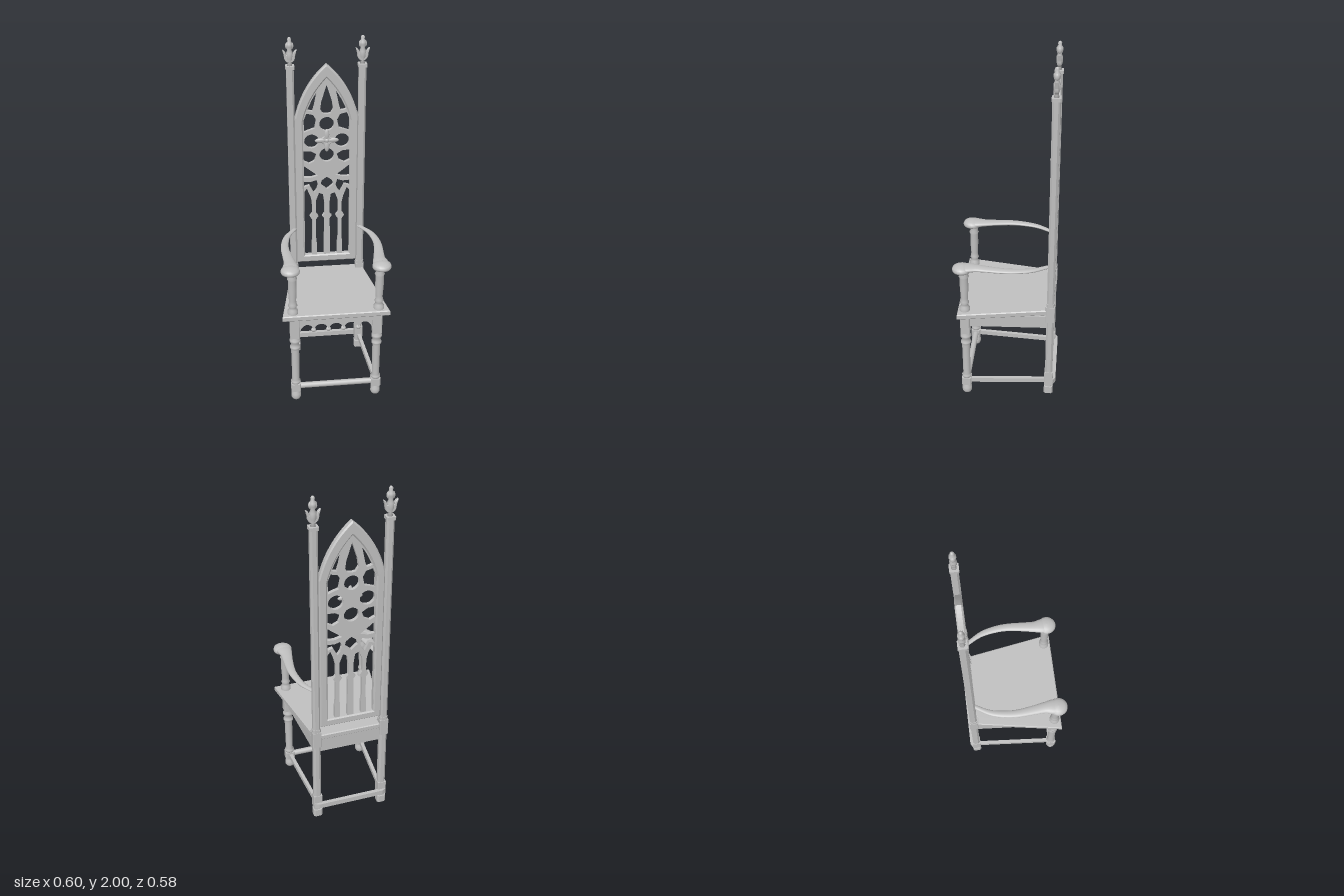
import * as THREE from 'three';

const wood = new THREE.MeshStandardMaterial({ color: 0xbfbfbf });
wood.name = 'greyWood';
const V = (x, y, z) => new THREE.Vector3(x, y, z);
const P = (pts) => pts.map(([x, y]) => new THREE.Vector2(x, y));

export function createModel() {
  const root = new THREE.Group();
  const add = (name, geo, x = 0, y = 0, z = 0) => {
    const m = new THREE.Mesh(geo, wood);
    m.name = name;
    m.position.set(x, y, z);
    root.add(m);
    return m;
  };
  const box = (name, w, h, d, x, y, z) => add(name, new THREE.BoxGeometry(w, h, d), x, y, z);
  const beam = (name, a, b, w, h) => {
    const m = add(name, new THREE.BoxGeometry(w, h, a.distanceTo(b)));
    m.position.copy(a).add(b).multiplyScalar(0.5);
    m.lookAt(b);
    return m;
  };
  const turned = (name, pts, x, y, z) => add(name, new THREE.LatheGeometry(P(pts), 20), x, y, z);
  // upright bar with chamfered corners
  const post = (name, w, c, y0, y1, x, z) => {
    const a = w / 2, b = a - c;
    const s = new THREE.Shape(P([[a, -b], [a, b], [b, a], [-b, a], [-a, b], [-a, -b], [-b, -a], [b, -a]]));
    const g = new THREE.ExtrudeGeometry(s, { depth: y1 - y0, bevelEnabled: false });
    return add(name, g.rotateX(-Math.PI / 2), x, y0, z);
  };
  const extrude = (s, depth, bevel, curveSegments = 12) => new THREE.ExtrudeGeometry(s, {
    depth, curveSegments, bevelEnabled: bevel > 0, bevelThickness: bevel, bevelSize: bevel, bevelOffset: -bevel, bevelSegments: 1,
  });

  // seat: tapers to the back, with a tongue between the rear posts
  const seat = new THREE.Shape(P([[-0.3, -0.265], [0.3, -0.265], [0.217, 0.225], [0.174, 0.225],
    [0.174, 0.268], [-0.174, 0.268], [-0.174, 0.225], [-0.217, 0.225]]));
  add('seat', extrude(seat, 0.022, 0.005).rotateX(-Math.PI / 2), 0, 0.56, 0);

  // scalloped front apron with pendants
  const apron = new THREE.Shape();
  apron.moveTo(-0.21, 0.555);
  apron.lineTo(-0.21, 0.455);
  const cusps = [-0.205, -0.126, -0.042, 0.042, 0.126, 0.205];
  cusps.forEach((x, i) => {
    const y = i === 0 || i === 5 ? 0.455 : 0.472;
    apron.lineTo(x, y);
    if (i < 5) {
      const n = cusps[i + 1];
      apron.bezierCurveTo(x + 0.012, 0.523, n - 0.012, 0.523, n, i === 4 ? 0.455 : 0.472);
    }
  });
  apron.lineTo(0.21, 0.455);
  apron.lineTo(0.21, 0.555);
  add('frontApron', extrude(apron, 0.022, 0), 0, 0, 0.215);
  box('frontApronMoulding', 0.5, 0.032, 0.03, 0, 0.536, 0.23);
  cusps.slice(1, 5).forEach((x) => {
    add('apronPendant', new THREE.SphereGeometry(0.014, 12, 8), x, 0.468, 0.226);
  });
  box('backApron', 0.36, 0.085, 0.02, 0, 0.513, -0.25);

  // tracery openings, given for the +x half
  const sideHoles = [
    [[0.052, 1.70], [0.08, 1.655], [0.108, 1.595], [0.098, 1.59], [0.078, 1.587], [0.068, 1.62]],
    [[0.128, 1.535], [0.112, 1.575], [0.075, 1.566], [0.058, 1.535], [0.068, 1.485], [0.1, 1.475], [0.125, 1.465]],
    [[0.13, 1.352], [0.13, 1.29], [0.1, 1.275], [0.07, 1.29], [0.056, 1.33], [0.09, 1.35]],
    [[0.13, 1.262], [0.13, 1.19], [0.09, 1.188], [0.05, 1.2], [0.09, 1.23]],
    [[0.05, 1.14], [0.06, 1.172], [0.09, 1.162], [0.13, 1.165], [0.13, 1.13], [0.1, 1.14], [0.075, 1.09], [0.06, 1.11]],
    [[0.018, 0.68], [0.06, 0.68], [0.06, 0.76], [0.064, 0.8], [0.064, 0.92], [0.05, 0.94], [0.064, 0.96],
      [0.064, 1.04], [0.045, 1.09], [0.022, 1.08], [0.014, 1.02], [0.014, 0.955], [0.028, 0.94], [0.016, 0.925]],
    [[0.09, 0.68], [0.13, 0.68], [0.13, 1.1], [0.115, 1.12], [0.095, 1.07], [0.086, 1.03], [0.086, 0.96],
      [0.1, 0.94], [0.086, 0.92], [0.086, 0.8], [0.09, 0.76]],
  ];
  const centreHoles = [
    [[0, 1.735], [0.03, 1.64], [0.036, 1.595], [0.022, 1.572], [0, 1.568]],
    [[0, 1.19], [0.03, 1.168], [0.036, 1.14], [0, 1.11]],
  ];
  const flip = (pts) => pts.map(([x, y]) => [-x, y]);
  // pointed-arch outline: half width, bottom, spring height, control point, apex
  const arch = (Shape, w, y0, ys, cx, cy, top) => {
    const s = new Shape();
    s.moveTo(-w, y0);
    s.lineTo(w, y0);
    s.lineTo(w, ys);
    s.quadraticCurveTo(cx, cy, 0, top);
    s.quadraticCurveTo(-cx, cy, -w, ys);
    s.lineTo(-w, y0);
    return s;
  };
  const panel = arch(THREE.Shape, 0.15, 0.665, 1.54, 0.115, 1.7, 1.81);
  sideHoles.forEach((h) => panel.holes.push(new THREE.Path(P(h)), new THREE.Path(P(flip(h)))));
  centreHoles.forEach((h) => panel.holes.push(new THREE.Path(P([...h, ...flip(h).reverse().filter(([x]) => x !== 0)]))));
  [[0, 1.51], [0.085, 1.41], [-0.085, 1.41], [0, 1.325]].forEach(([x, y]) => {
    const ring = new THREE.Path();
    ring.absarc(x, y, 0.041, 0, Math.PI * 2);
    panel.holes.push(ring);
  });
  add('backTracery', extrude(panel, 0.022, 0), 0, 0, -0.258);
  const frame = arch(THREE.Shape, 0.176, 0.64, 1.55, 0.13, 1.74, 1.85);
  frame.holes.push(arch(THREE.Path, 0.132, 0.685, 1.53, 0.1, 1.67, 1.775));
  add('backFrame', extrude(frame, 0.024, 0.007, 16), 0, 0, -0.26);

  // four-pointed boss at the centre of the rosette
  const star = new THREE.Shape(P([...Array(8)].map((_, i) => {
    const r = i % 2 ? 0.028 : 0.05, a = (i * Math.PI) / 4;
    return [r * Math.cos(a), r * Math.sin(a)];
  })));
  add('rosetteStar', extrude(star, 0.006, 0.003), 0, 1.415, -0.236);
  for (let i = 0; i < 4; i++) {
    const petal = add('rosettePetal', new THREE.SphereGeometry(1, 12, 8), 0, 1.415, -0.232);
    petal.scale.set(0.034, 0.014, 0.009);
    petal.rotation.z = (i * Math.PI) / 2;
    petal.position.x += 0.034 * Math.cos(petal.rotation.z);
    petal.position.y += 0.034 * Math.sin(petal.rotation.z);
  }
  add('rosetteButton', new THREE.SphereGeometry(0.015, 14, 10), 0, 1.415, -0.235);

  // arm stations: x, y, z, half width, half height
  const arm = [[0.19, 0.862, -0.235, 0.014, 0.008], [0.238, 0.865, -0.15, 0.018, 0.009], [0.257, 0.867, -0.07, 0.021, 0.01],
    [0.262, 0.868, 0, 0.023, 0.011], [0.253, 0.869, 0.1, 0.028, 0.012], [0.246, 0.869, 0.16, 0.033, 0.015],
    [0.247, 0.868, 0.21, 0.044, 0.018], [0.25, 0.868, 0.245, 0.044, 0.016]];
  const armGeometry = (side) => {
    const path = new THREE.CatmullRomCurve3(arm.map((a) => V(side * a[0], a[1], a[2])));
    const size = new THREE.CatmullRomCurve3(arm.map((a) => V(a[3], a[4], 0)));
    const N = 28, M = 16, pos = [], idx = [];
    for (let i = 0; i <= N; i++) {
      const c = path.getPoint(i / N), s = size.getPoint(i / N);
      for (let j = 0; j < M; j++) {
        const a = (j / M) * Math.PI * 2;
        pos.push(c.x + s.x * Math.cos(a), c.y + s.y * Math.sin(a), c.z);
        if (i === N) continue;
        const p = i * M + j, q = i * M + ((j + 1) % M);
        idx.push(p, q, p + M, q, q + M, p + M);
      }
    }
    const g = new THREE.BufferGeometry();
    g.setAttribute('position', new THREE.Float32BufferAttribute(pos, 3));
    g.setIndex(idx);
    g.computeVertexNormals();
    return g;
  };

  for (const s of [1, -1]) {
    // rear posts
    const bx = s * 0.196, bz = -0.25;
    post('rearFoot', 0.052, 0.009, 0, 0.045, bx, bz);
    post('rearFootNeck', 0.036, 0.006, 0.045, 0.06, bx, bz);
    post('rearLowerBlock', 0.05, 0.003, 0.06, 0.15, bx, bz);
    post('rearLeg', 0.043, 0.011, 0.15, 0.51, bx, bz);
    post('rearSeatBlock', 0.05, 0.003, 0.51, 0.61, bx, bz);
    post('rearSeatBlockCap', 0.046, 0.009, 0.61, 0.63, bx, bz);
    post('backPost', 0.041, 0.01, 0.63, 1.83, bx, bz);
    post('backPostCap', 0.048, 0.004, 1.828, 1.846, bx, bz);

    // finial: turned bud with two spreading leaves
    turned('finialBud', [[0, 1.84], [0.014, 1.845], [0.01, 1.865], [0.017, 1.885], [0.018, 1.915], [0.011, 1.93],
      [0.018, 1.95], [0.018, 1.965], [0.009, 1.978], [0.011, 1.99], [0.006, 1.998], [0, 2]], bx, 0, bz);
    for (const k of [1, -1]) {
      const leaf = new THREE.Shape();
      leaf.moveTo(0, 1.86);
      leaf.quadraticCurveTo(k * 0.03, 1.865, k * 0.03, 1.9);
      leaf.lineTo(k * 0.038, 1.932);
      leaf.quadraticCurveTo(k * 0.02, 1.925, k * 0.018, 1.905);
      leaf.lineTo(0, 1.91);
      add('finialLeaf', extrude(leaf, 0.014, 0.003), bx, 0, bz - 0.007);
      const tip = add('finialUpperLeaf', new THREE.SphereGeometry(1, 10, 8), bx + k * 0.014, 1.953, bz);
      tip.scale.set(0.008, 0.018, 0.012);
    }

    // front legs
    const fx = s * 0.232, fz = 0.226;
    turned('frontFoot', [[0, 0], [0.022, 0], [0.028, 0.012], [0.028, 0.035], [0.02, 0.05], [0.02, 0.07]], fx, 0, fz);
    post('frontLowerBlock', 0.056, 0.008, 0.06, 0.108, fx, fz);
    turned('frontLeg', [[0.022, 0.105], [0.028, 0.115], [0.028, 0.125], [0.021, 0.135], [0.023, 0.345], [0.029, 0.355],
      [0.029, 0.365], [0.023, 0.372], [0.023, 0.39], [0.03, 0.398], [0.03, 0.41], [0.023, 0.42], [0.023, 0.44]], fx, 0, fz);
    post('frontLegBlock', 0.054, 0.005, 0.43, 0.558, fx, fz);

    // arm, hand rest and turned support
    add('arm', armGeometry(s));
    turned('handRest', [[0, 0.845], [0.038, 0.845], [0.05, 0.852], [0.053, 0.862], [0.048, 0.874], [0.034, 0.882],
      [0.015, 0.887], [0, 0.888]], s * 0.249, 0, 0.235);
    turned('armSupport', [[0.029, 0.583], [0.029, 0.605], [0.021, 0.615], [0.021, 0.63], [0.026, 0.638], [0.021, 0.648],
      [0.02, 0.67], [0.024, 0.74], [0.023, 0.8], [0.028, 0.81], [0.022, 0.82], [0.024, 0.85]], s * 0.24, 0, 0.226);

    // side apron and lower stretcher
    beam('sideApron', V(s * 0.234, 0.516, 0.21), V(s * 0.2, 0.504, -0.24), 0.02, 0.076);
    beam('sideStretcher', V(s * 0.232, 0.084, 0.22), V(s * 0.197, 0.084, -0.25), 0.02, 0.027);
  }

  // cross stretchers
  add('frontStretcher', new THREE.CylinderGeometry(0.017, 0.017, 0.45, 14).rotateZ(Math.PI / 2), 0, 0.084, 0.226);
  const rail = new THREE.Shape(P([[-0.22, 0.268], [0.22, 0.268], [0.22, 0.276], [0.195, 0.29], [-0.195, 0.29], [-0.22, 0.276]]));
  add('backStretcher', extrude(rail, 0.03, 0).rotateX(-Math.PI / 2), 0, 0.07, 0);
  return root;
}
